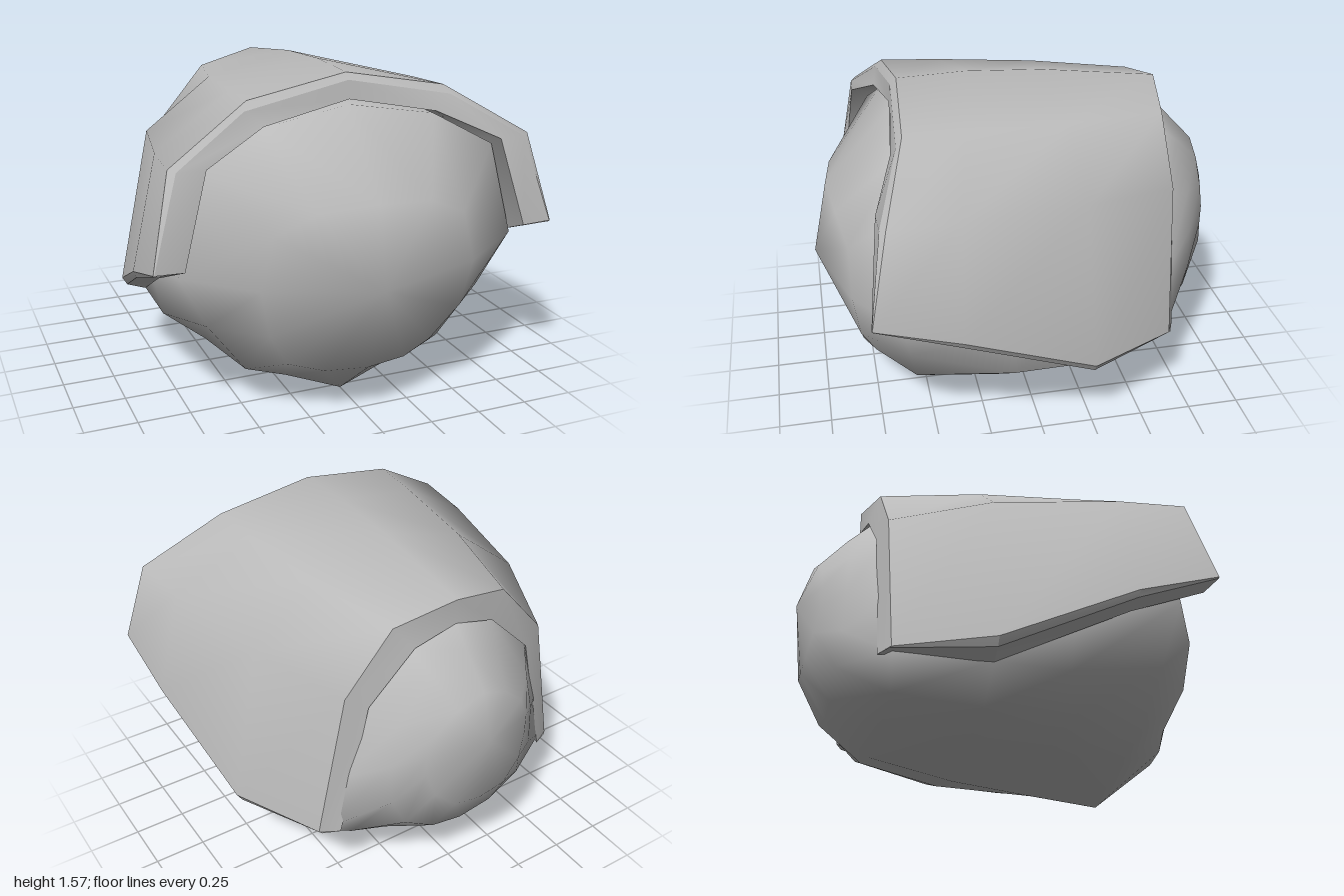
import * as THREE from 'three';
import { mergeVertices } from 'three/addons/utils/BufferGeometryUtils.js';

// Smooth surface through rows of points
function grid(rows) {
  const n = rows[0].length, index = [];
  for (let r = 0; r < rows.length - 1; r++) {
    for (let c = 0; c < n - 1; c++) {
      const a = r * n + c, d = a + n;
      index.push(a, a + 1, d, a + 1, d + 1, d);
    }
  }
  const g = new THREE.BufferGeometry();
  g.setAttribute('position', new THREE.Float32BufferAttribute(rows.flat(2), 3));
  g.setIndex(index);
  const merged = mergeVertices(g, 1e-4);
  merged.computeVertexNormals();
  return merged;
}

// Half row (side to centre) completed to a full row from -x to +x
const flip = ([x, y, z]) => [-x, y, z];
const mirror = (half) => [...half.map(flip), ...half.slice(0, -1).reverse()];
// Tip of the core: a section shrunk to one point
const tip = (y, z) => Array.from({ length: 8 }, () => [0, y, z]);

export function createModel() {
  const model = new THREE.Group();
  const grey = new THREE.MeshStandardMaterial({ color: 0xbababa, side: THREE.DoubleSide });
  grey.name = 'grey';
  const add = (parent, name, rows) => {
    const mesh = new THREE.Mesh(grid(rows), grey);
    mesh.name = name;
    parent.add(mesh);
  };

  // Core sections, front tip to back tip; each runs from keel to crown
  const front = [
    tip(0.68, 1.0),
    [[0, 0.25, 0.84], [0.2, 0.25, 0.8], [0.36, 0.29, 0.75], [0.47, 0.47, 0.82],
      [0.52, 0.7, 0.85], [0.46, 0.94, 0.85], [0.27, 1.03, 0.89], [0, 1.05, 0.92]],
    [[0, 0, 0.53], [0.29, 0.13, 0.55], [0.5, 0.21, 0.57], [0.69, 0.47, 0.61],
      [0.83, 0.74, 0.66], [0.71, 1.19, 0.65], [0.42, 1.35, 0.6], [0, 1.42, 0.58]],
    [[0, 0.03, 0.2], [0.34, 0.15, 0.2], [0.58, 0.22, 0.2], [0.77, 0.36, 0.14],
      [0.83, 0.62, 0.15], [0.74, 1.13, 0.1], [0.42, 1.35, 0.1], [0, 1.44, 0.1]],
  ];
  const back = [
    [[0, 0.07, -0.2], [0.34, 0.15, -0.2], [0.57, 0.23, -0.2], [0.77, 0.365, -0.21],
      [0.75, 0.65, -0.21], [0.65, 1.08, -0.2], [0.38, 1.33, -0.2], [0, 1.42, -0.2]],
    [[0, 0.15, -0.6], [0.28, 0.215, -0.6], [0.48, 0.29, -0.6], [0.65, 0.41, -0.63],
      [0.57, 0.7, -0.65], [0.46, 1.05, -0.66], [0.22, 1.29, -0.68], [0, 1.36, -0.71]],
    [[0, 0.31, -0.82], [0.17, 0.35, -0.83], [0.33, 0.45, -0.83], [0.4, 0.6, -0.82],
      [0.4, 0.8, -0.81], [0.36, 1.0, -0.8], [0.18, 1.2, -0.79], [0, 1.27, -0.79]],
    [[0, 0.54, -0.955], [0.14, 0.56, -0.95], [0.24, 0.65, -0.93], [0.28, 0.77, -0.91],
      [0.28, 0.87, -0.91], [0.24, 0.97, -0.91], [0.13, 1.07, -0.92], [0, 1.12, -0.93]],
    tip(0.9, -1.0),
  ];
  add(model, 'core', [...front, ...back].map(mirror));

  // Hood sections, front to back; each runs from lower edge to crown
  const outer = [
    [[0.97, 0.82, 0.79], [0.87, 1.24, 0.7], [0.48, 1.475, 0.58], [0, 1.56, 0.55]],
    [[0.965, 0.7, 0.4], [0.84, 1.23, 0.38], [0.46, 1.465, 0.3], [0, 1.57, 0.22]],
    [[0.885, 0.43, -0.22], [0.73, 1.19, -0.2], [0.41, 1.44, -0.18], [0, 1.55, -0.15]],
    [[0.68, 0.42, -0.64], [0.54, 1.13, -0.655], [0.3, 1.41, -0.66], [0, 1.48, -0.71]],
  ];
  const inner = [
    [[0.83, 0.81, 0.78], [0.71, 1.23, 0.73], [0.42, 1.365, 0.63], [0, 1.445, 0.59]],
    [[0.85, 0.65, 0.4], [0.74, 1.15, 0.38], [0.42, 1.36, 0.3], [0, 1.45, 0.22]],
    [[0.77, 0.36, -0.21], [0.64, 1.1, -0.2], [0.37, 1.34, -0.18], [0, 1.43, -0.15]],
    [[0.59, 0.415, -0.685], [0.44, 1.07, -0.69], [0.21, 1.3, -0.7], [0, 1.36, -0.71]],
  ];
  const bevel = mirror([[0.965, 0.82, 0.792], [0.84, 1.23, 0.725], [0.5, 1.435, 0.61], [0, 1.53, 0.58]]);
  const out = outer.map(mirror), inn = inner.map(mirror);

  const hood = new THREE.Group();
  hood.name = 'hood';
  model.add(hood);
  add(hood, 'hoodShell', out);
  add(hood, 'hoodLining', [...inn].reverse());
  add(hood, 'hoodBackRim', [out[3], inn[3]]);
  add(hood, 'hoodFrontRim', [inn[0], bevel]);
  add(hood, 'hoodFrontBevel', [bevel, out[0]]);

  // Lower edges of the hood: a narrow bevel, then the underside
  const lip = [[0.965, 0.815, 0.79], [0.95, 0.67, 0.4], [0.86, 0.39, -0.22], [0.67, 0.415, -0.65]];
  const bands = [
    ['Bevel', outer.map((s) => s[0]), lip],
    ['Underside', lip, inner.map((s) => s[0])],
  ];
  for (const [name, top, low] of bands) {
    for (let i = 0; i < 3; i++) {
      const t = top.slice(i, i + 2), l = low.slice(i, i + 2);
      add(hood, 'hoodLeft' + name, [l, t]);
      add(hood, 'hoodRight' + name, [t.map(flip), l.map(flip)]);
    }
  }
  return model;
}
